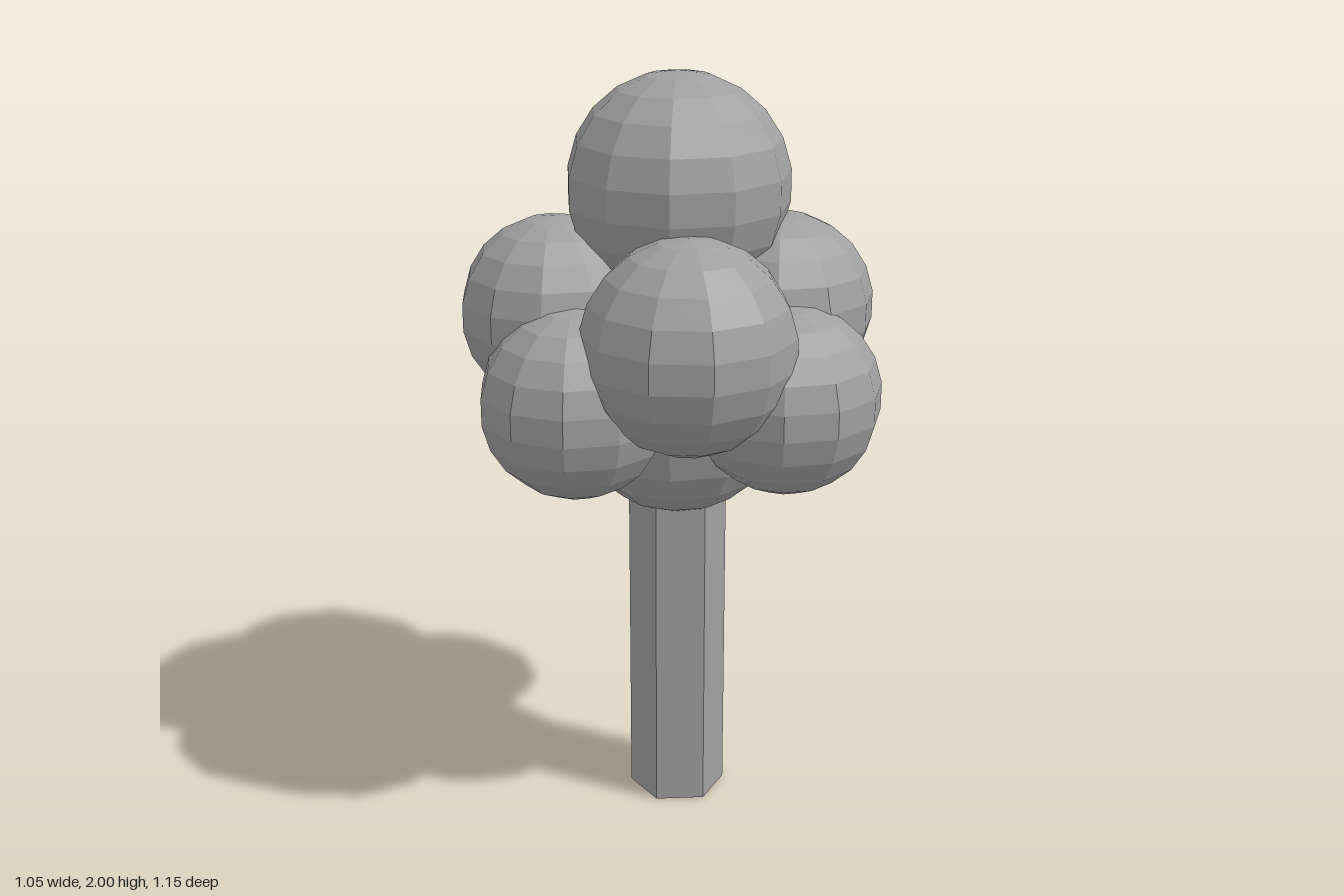
import * as THREE from 'three';

export function createModel() {
  const group = new THREE.Group();
  group.name = 'tree';
  const grey = new THREE.MeshStandardMaterial({ color: 0xa0a0a0, flatShading: true });
  grey.name = 'grey';

  function add(name, geometry, x, y, z, turn = 0) {
    const mesh = new THREE.Mesh(geometry, grey);
    mesh.name = name;
    mesh.position.set(x, y, z);
    mesh.rotation.y = turn;
    group.add(mesh);
  }

  // Six-sided trunk, its top hidden in the foliage
  const trunkHeight = 1.1;
  add('trunk', new THREE.CylinderGeometry(0.13, 0.13, trunkHeight, 6), 0.02, trunkHeight / 2, 0, Math.PI / 2);

  // Foliage balls: name, radius, x, y, z, turn
  const balls = [
    ['foliageCore', 0.29, 0.02, 1.135, 0, Math.PI],
    ['foliageTop', 0.29, 0.02, 1.71, 0, Math.PI],
    ['foliageFront', 0.27, 0.025, 1.383, 0.308, 0],
    ['foliageBack', 0.27, -0.026, 1.383, -0.31, 0],
    ['foliageLeft', 0.245, 0.283, 1.395, 0, Math.PI],
    ['foliageRight', 0.245, -0.296, 1.395, 0, Math.PI],
    ['foliageLowFrontLeft', 0.245, 0.277, 1.215, 0.21, Math.PI],
    ['foliageLowFrontRight', 0.245, -0.25, 1.215, 0.21, Math.PI],
    ['foliageLowBackLeft', 0.245, 0.208, 1.215, -0.21, Math.PI],
    ['foliageLowBackRight', 0.245, -0.25, 1.215, -0.212, Math.PI],
  ];
  for (const [name, radius, x, y, z, turn] of balls) {
    add(name, new THREE.SphereGeometry(radius, 11, 11), x, y, z, turn);
  }

  return group;
}
